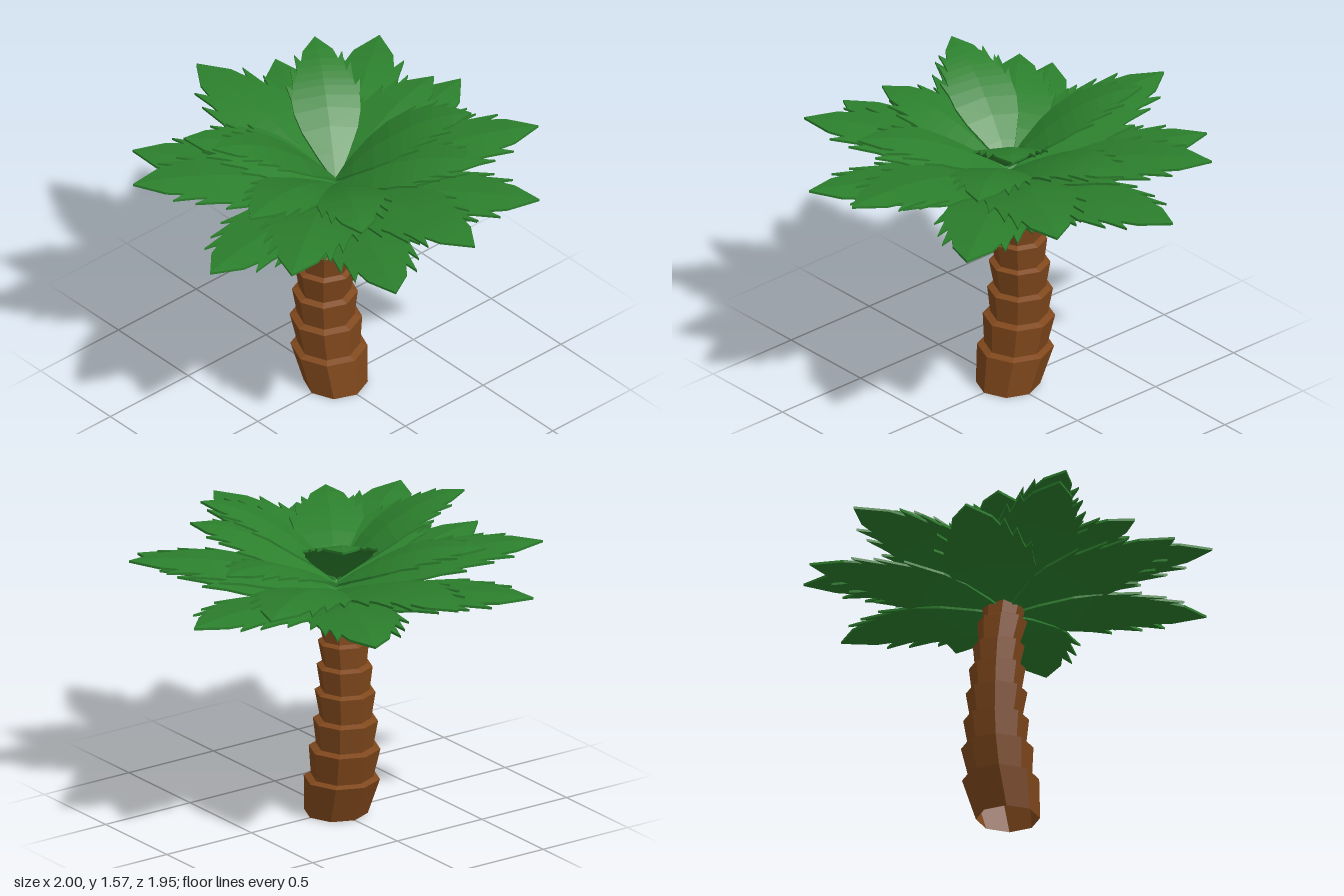
import * as THREE from 'three';

const bark = new THREE.MeshStandardMaterial({ color: 0x80481c, flatShading: true, side: THREE.DoubleSide });
bark.name = 'bark brown';
const leaf = new THREE.MeshStandardMaterial({ color: 0x2c802d, flatShading: true });
leaf.name = 'leaf green';

// Leaf half outline: [rib position, edge position, edge half width, tooth position, tooth half width]
const STATIONS = [
  [0.0, 0.0, 0.02], [0.13, 0.12, 0.1], [0.28, 0.27, 0.18], [0.4, 0.39, 0.215],
  [0.48, 0.48, 0.22, 0.6, 0.24], [0.55, 0.55, 0.2], [0.6, 0.6, 0.195, 0.74, 0.195], [0.66, 0.66, 0.16],
  [0.71, 0.71, 0.155, 0.84, 0.155], [0.77, 0.77, 0.12], [0.86, 0.86, 0.098], [1.0, 1.0, 0.0],
];

// Arched, folded frond with serrated sides and a little thickness, pointing along +x;
// peak is where along its length the arch is highest
function frondGeometry({ length, width, rise, peak }) {
  const pos = [];
  const thick = 0.012;
  const point = (t, w, s, down) => [
    t * length,
    rise * (1 - (1 - t / peak) ** 2) - 0.11 * w * width - down,
    s * w * width,
  ];
  const tri = (s, a, b, c) => (s > 0 ? pos.push(...a, ...b, ...c) : pos.push(...a, ...c, ...b));

  for (const s of [1, -1]) {
    // top and underside
    const plate = (a, b, c) => {
      const up = [a, b, c].map(([t, w]) => point(t, w, s, 0));
      const low = [a, c, b].map(([t, w]) => point(t, w, s, thick));
      tri(s, ...up);
      tri(s, ...low);
    };
    // rim between the two faces
    const rim = (a, b) => {
      const [a0, b0] = [a, b].map(([t, w]) => point(t, w, s, 0));
      const [a1, b1] = [a, b].map(([t, w]) => point(t, w, s, thick));
      tri(s, a0, a1, b0);
      tri(s, a1, b1, b0);
    };
    for (let i = 0; i < STATIONS.length - 1; i++) {
      const [r0, t0, w0, toothT, toothW] = STATIONS[i];
      const [r1, t1, w1] = STATIONS[i + 1];
      const m0 = [r0, 0], m1 = [r1, 0], e0 = [t0, w0], e1 = [t1, w1];
      plate(m0, e0, e1);
      if (w1 > 0) plate(m0, e1, m1);
      if (toothT) {
        const tip = [toothT, toothW];
        plate(e0, tip, e1);
        rim(e0, tip);
        rim(tip, e1);
      } else {
        rim(e0, e1);
      }
    }
  }
  const geo = new THREE.BufferGeometry();
  geo.setAttribute('position', new THREE.Float32BufferAttribute(pos, 3));
  geo.computeVertexNormals();
  return geo;
}

// Trunk: flared eight-sided rings with a ledge on top, following a bowed axis
function makeTrunk() {
  const trunk = new THREE.Group();
  trunk.name = 'trunk';
  // [top height, centre x, top radius, bottom radius]
  const rings = [
    [0.205, -0.048, 0.185, 0.154], [0.365, -0.07, 0.174, 0.15], [0.51, -0.077, 0.158, 0.137],
    [0.655, -0.074, 0.148, 0.123], [0.785, -0.07, 0.136, 0.118], [0.905, -0.06, 0.124, 0.106],
    [1.04, -0.037, 0.12, 0.098], [1.15, -0.02, 0.108, 0.092],
  ];
  let y0 = 0, x0 = 0;
  rings.forEach(([y1, x1, rTop, rBottom], i) => {
    const ledge = 0.015;
    const profile = [[rBottom, 0, x0], [rTop, y1 - y0 - ledge, x1], [rTop * 0.75, y1 - y0, x1]];
    const geo = new THREE.LatheGeometry(profile.map(([r, y]) => new THREE.Vector2(r, y)), 8);
    const p = geo.attributes.position;
    for (let v = 0; v < p.count; v++) {
      p.setX(v, p.getX(v) + profile[v % profile.length][2]);
    }
    geo.computeVertexNormals();
    const ring = new THREE.Mesh(geo, bark);
    ring.name = `trunkRing${i + 1}`;
    ring.position.y = y0;
    trunk.add(ring);
    y0 = y1 - ledge;
    x0 = x1;
  });
  return trunk;
}

export function createModel() {
  const model = new THREE.Group();
  model.name = 'palmTree';
  model.add(makeTrunk());

  // Frond tiers from the lowest up; angles run from +x towards +z
  const tiers = [
    { name: 'lowerFronds', y: 1.08, length: 0.995, width: 1, rise: 0.135, peak: 0.87, angles: [25, 79, 144, 205, 259, 323] },
    { name: 'middleFronds', y: 1.13, length: 1.0, width: 1, rise: 0.21, peak: 0.87, angles: [0, 54, 118, 180, 234, 298] },
    { name: 'upperFronds', y: 1.165, length: 0.73, width: 0.82, rise: 0.235, peak: 0.9, angles: [32, 76, 136, 262, 323] },
    { name: 'crownFronds', y: 1.2, length: 0.65, width: 0.75, rise: 0.37, peak: 1.02, angles: [107, 213, 310] },
  ];
  for (const spec of tiers) {
    const tier = new THREE.Group();
    tier.name = spec.name;
    tier.position.y = spec.y;
    const geo = frondGeometry(spec);
    for (const a of spec.angles) {
      const frond = new THREE.Mesh(geo, leaf);
      frond.name = 'frond';
      frond.rotation.y = -THREE.MathUtils.degToRad(a);
      tier.add(frond);
    }
    model.add(tier);
  }
  return model;
}
